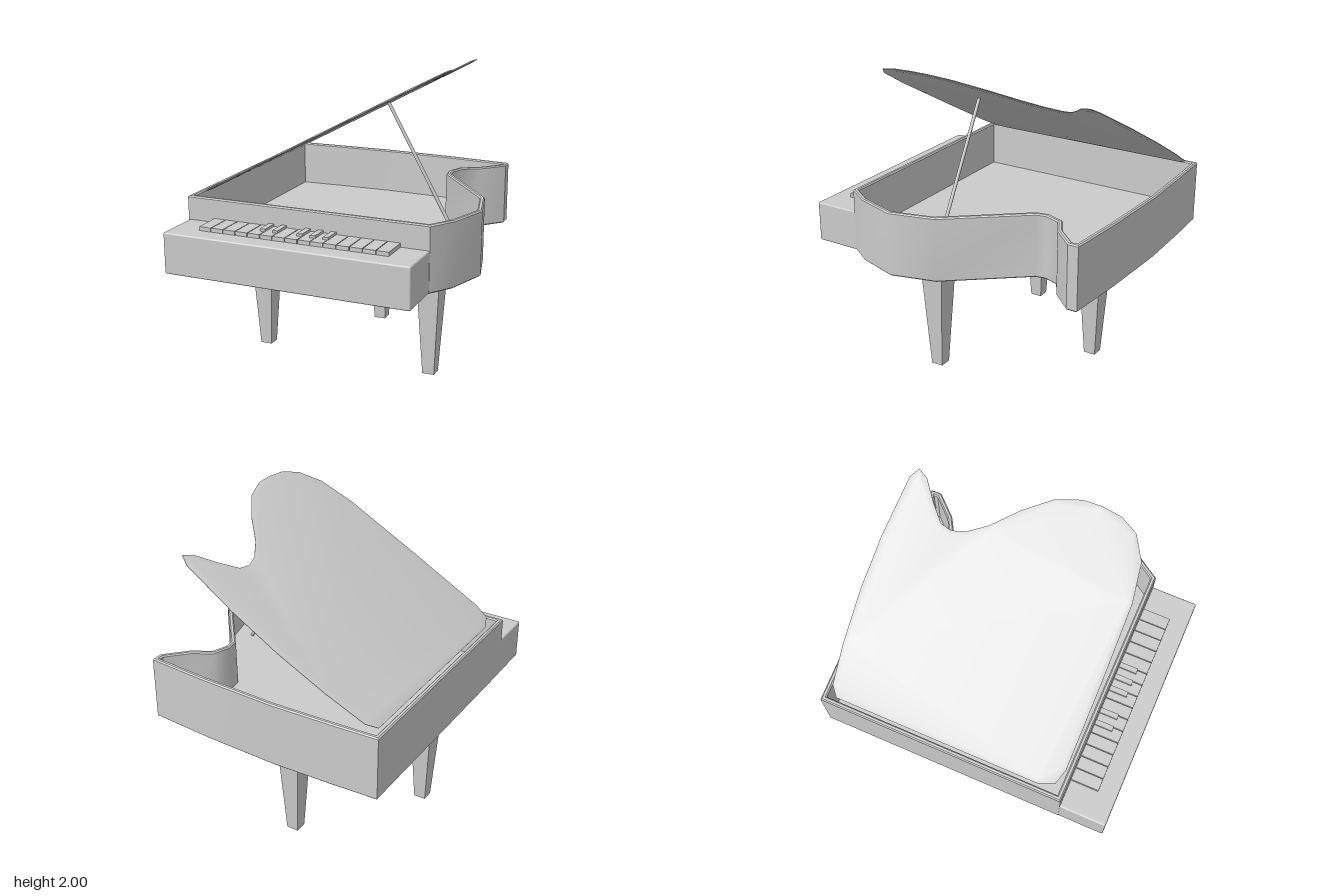
import * as THREE from 'three';
import { toCreasedNormals } from 'three/addons/utils/BufferGeometryUtils.js';
import { RoundedBoxGeometry } from 'three/addons/geometries/RoundedBoxGeometry.js';

const material = new THREE.MeshStandardMaterial({ color: 0xcccccc });

function addMesh(parent, name, geometry, x = 0, y = 0, z = 0) {
  const mesh = new THREE.Mesh(geometry, material);
  mesh.name = name;
  mesh.position.set(x, y, z);
  parent.add(mesh);
  return mesh;
}

// Plan outlines are [x, z], counter-clockwise seen from above
const CASE_PLAN = [
  [-0.91, 0.68], [0.72, 0.68], [0.82, 0.53], [0.905, 0.26], [0.83, -0.03],
  [0.445, -0.51], [0.435, -0.575], [0.47, -0.67], [0.59, -0.74], [0.72, -0.88],
  [0.72, -0.95], [0.3, -0.98], [-0.2, -0.997], [-0.6, -0.985], [-0.91, -0.97],
];
const LID_PLAN = [
  [-0.86, 0.51], [-0.82, 0.61], [-0.73, 0.64], [-0.2, 0.645], [0.24, 0.64],
  [0.46, 0.6], [0.585, 0.51], [0.64, 0.395], [0.655, 0.26], [0.65, 0.14],
  [0.6, -0.02], [0.48, -0.19], [0.345, -0.34], [0.27, -0.46], [0.245, -0.55],
  [0.26, -0.625], [0.345, -0.71], [0.46, -0.805], [0.49, -0.87], [0.43, -0.91],
  [0.08, -0.953], [-0.23, -0.967], [-0.55, -0.957], [-0.8, -0.93], [-0.86, -0.88],
];

const toPoints = (plan) => plan.map(([x, z]) => new THREE.Vector2(x, -z));

// Moves every edge of a closed outline inward by d, with mitred corners
function inset(points, d) {
  const n = points.length;
  return points.map((p, i) => {
    const before = p.clone().sub(points[(i + n - 1) % n]).normalize();
    const after = points[(i + 1) % n].clone().sub(p).normalize();
    const n1 = new THREE.Vector2(-before.y, before.x);
    const n2 = new THREE.Vector2(-after.y, after.x);
    const miter = n1.clone().add(n2).normalize();
    return p.clone().addScaledVector(miter, d / miter.dot(n1));
  });
}

// Open box: rows of [inset, y] run up the outside, over the rim and down inside
function caseGeometry() {
  const outline = toPoints(CASE_PLAN);
  const n = outline.length;
  const rows = [
    [0.008, 0.75], [0, 0.758], [0, 1.167], [0.008, 1.175],
    [0.024, 1.175], [0.032, 1.167], [0.035, 0.87],
  ];
  const loops = rows.map(([d]) => inset(outline, d));
  const positions = [];
  loops.forEach((loop, r) => loop.forEach((p) => positions.push(p.x, rows[r][1], -p.y)));
  const index = [];
  for (let r = 0; r < rows.length - 1; r++) {
    for (let j = 0; j < n; j++) {
      const k = (j + 1) % n;
      const a = r * n + j, b = r * n + k, c = b + n, d = a + n;
      index.push(a, b, c, a, c, d);
    }
  }
  // Underside and inner floor
  for (const [a, b, c] of THREE.ShapeUtils.triangulateShape(loops[0], [])) index.push(a, c, b);
  const last = (rows.length - 1) * n;
  for (const [a, b, c] of THREE.ShapeUtils.triangulateShape(loops[rows.length - 1], [])) {
    index.push(last + a, last + b, last + c);
  }
  const geometry = new THREE.BufferGeometry();
  geometry.setAttribute('position', new THREE.Float32BufferAttribute(positions, 3));
  geometry.setIndex(index);
  return toCreasedNormals(geometry, 0.72);
}

// Thin lid, flat outline stretched along the slope and then tilted up
function lidGeometry() {
  const hinge = -0.86;
  const angle = Math.atan2(0.82, 1.515);
  const points = toPoints(LID_PLAN);
  points.forEach((p) => { p.x = (p.x - hinge) / Math.cos(angle); });
  const geometry = new THREE.ExtrudeGeometry(new THREE.Shape(points), {
    depth: 0.003, bevelThickness: 0.006, bevelSize: 0.025, bevelOffset: -0.025, bevelSegments: 1,
  });
  geometry.rotateX(-Math.PI / 2).rotateZ(angle).translate(hinge, 1.175, 0);
  return toCreasedNormals(geometry, 0.4);
}

export function createModel() {
  const piano = new THREE.Group();
  piano.name = 'grandPiano';

  addMesh(piano, 'case', caseGeometry());
  addMesh(piano, 'keyBed', new RoundedBoxGeometry(1.626, 0.268, 0.33, 2, 0.01), -0.095, 0.885, 0.823);
  addMesh(piano, 'lid', lidGeometry());

  // Prop stick from the case floor to the lid
  const foot = new THREE.Vector3(0.69, 0.885, 0.055);
  const head = new THREE.Vector3(0.205, 1.75, 0.055);
  const span = head.clone().sub(foot);
  const prop = addMesh(piano, 'lidProp', new THREE.CylinderGeometry(0.011, 0.011, span.length() + 0.01, 12));
  prop.position.copy(foot).add(head).multiplyScalar(0.5);
  prop.quaternion.setFromUnitVectors(new THREE.Vector3(0, 1, 0), span.normalize());

  // Keys
  const keys = new THREE.Group();
  keys.name = 'keyboard';
  piano.add(keys);
  const pitch = 0.0843;
  for (let i = 0; i < 15; i++) {
    addMesh(keys, 'whiteKey', new THREE.BoxGeometry(pitch - 0.005, 0.035, 0.195),
      -0.725 + (i + 0.5) * pitch, 1.0275, 0.7675);
  }
  for (const x of [-0.317, -0.231, -0.067, 0.019, 0.105]) {
    addMesh(keys, 'blackKey', new THREE.BoxGeometry(0.035, 0.03, 0.13), x, 1.046, 0.735);
  }

  // Tapered square legs
  const leg = new THREE.CylinderGeometry(0.083 * Math.SQRT2, 0.04 * Math.SQRT2, 0.755, 4)
    .rotateY(Math.PI / 4).toNonIndexed();
  leg.computeVertexNormals();
  for (const [name, x, z] of [
    ['frontLeftLeg', 0.55, 0.153], ['frontRightLeg', -0.66, 0.113], ['rearLeg', -0.112, -0.63],
  ]) addMesh(piano, name, leg, x, 0.3775, z);

  return piano;
}
